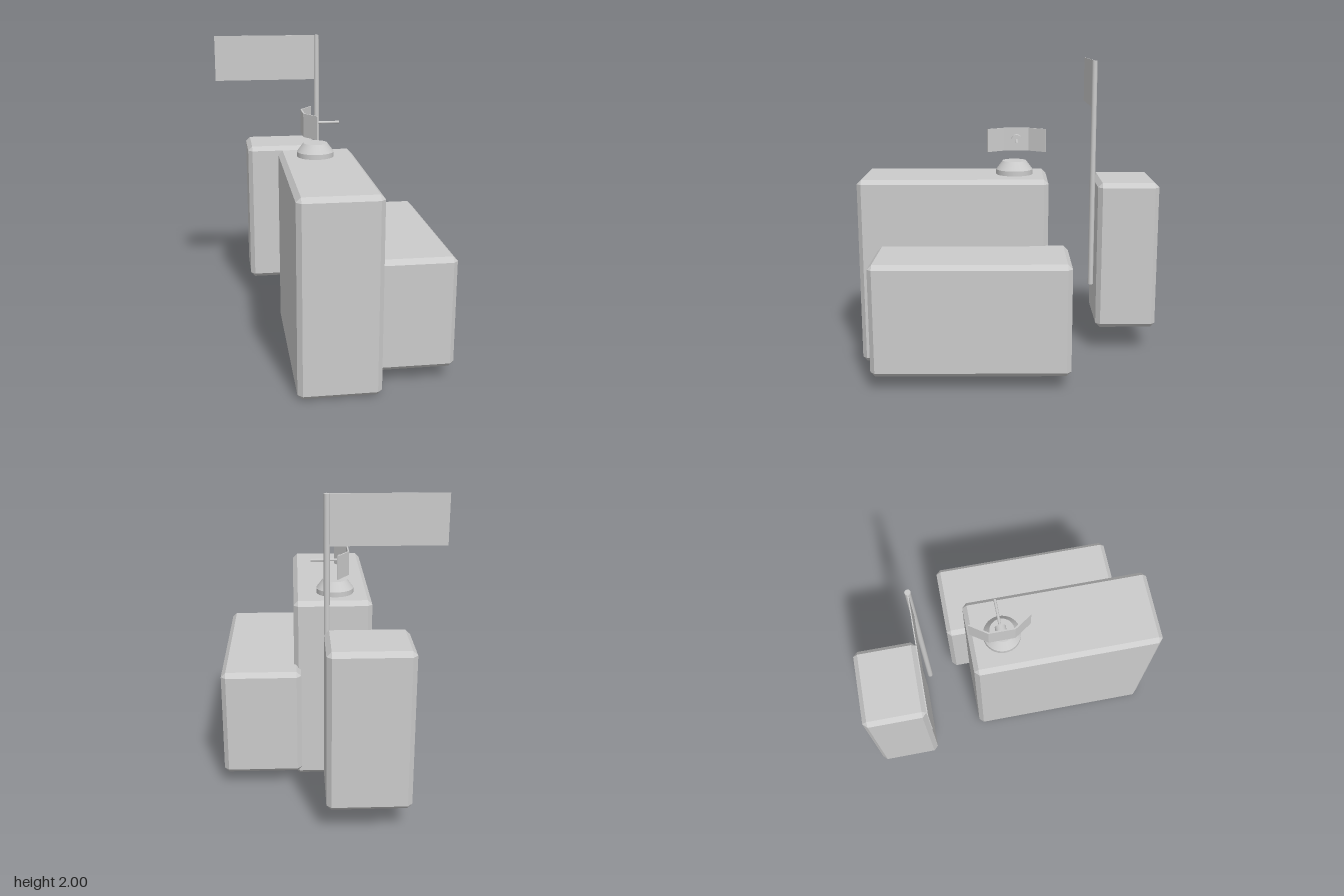
import * as THREE from 'three';
import { ConvexGeometry } from 'three/addons/geometries/ConvexGeometry.js';

const material = new THREE.MeshStandardMaterial({ color: 0xcccccc, flatShading: true });
const smooth = new THREE.MeshStandardMaterial({ color: 0xcccccc });

function part(name, geometry, x = 0, y = 0, z = 0, mat = material) {
  const mesh = new THREE.Mesh(geometry, mat);
  mesh.name = name;
  mesh.position.set(x, y, z);
  return mesh;
}

// Box with 45 degree chamfers on every edge, given by its limits
function chamferedBox(name, x0, x1, y0, y1, z0, z1, c = 0.03) {
  const half = [(x1 - x0) / 2, (y1 - y0) / 2, (z1 - z0) / 2];
  const points = [];
  for (const sx of [-1, 1]) for (const sy of [-1, 1]) for (const sz of [-1, 1]) {
    const s = [sx, sy, sz];
    // three points per corner, each lying on one full face
    for (let face = 0; face < 3; face++) {
      points.push(new THREE.Vector3(...half.map((h, i) => s[i] * (i === face ? h : h - c))));
    }
  }
  return part(name, new ConvexGeometry(points), (x0 + x1) / 2, (y0 + y1) / 2, (z0 + z1) / 2);
}

export function createModel() {
  const model = new THREE.Group();
  model.name = 'blockGroup';

  // Three large blocks
  model.add(
    chamferedBox('tallBlock', -0.29, 0.22, 0, 1.245, -0.245, 1),
    chamferedBox('lowBlock', 0.175, 0.693, 0.09, 0.808, -0.375, 0.872),
    chamferedBox('rearBlock', -0.48, 0.037, 0.173, 1.19, -1, -0.588),
  );

  // Flag on its pole
  const flag = new THREE.Group();
  flag.name = 'flag';
  flag.add(
    part('flagPole', new THREE.CylinderGeometry(0.018, 0.018, 1.51, 16), 0.018, 1.245, -0.547, smooth),
    part('flagPanel', new THREE.BoxGeometry(0.705, 0.312, 0.006), -0.347, 1.844, -0.547),
  );
  model.add(flag);

  // Low turret base: short wall, then a taper to a flat top
  const base = new THREE.Group();
  base.name = 'turretBase';
  base.position.set(-0.056, 0, -0.025);
  base.add(
    part('baseWall', new THREE.CylinderGeometry(0.123, 0.123, 0.035, 32), 0, 1.26, 0, smooth),
    part('baseTaper', new THREE.CylinderGeometry(0.08, 0.123, 0.058, 32), 0, 1.306, 0, smooth),
  );
  model.add(base);

  // Folded dish with hub and antenna rod
  const dish = new THREE.Group();
  dish.name = 'dish';
  dish.position.set(0, 1.468, -0.04);
  const outline = [
    [-0.066, -0.198], [-0.143, -0.085], [-0.143, 0.085], [-0.066, 0.198],
    [-0.058, 0.193], [-0.133, 0.082], [-0.133, -0.082], [-0.058, -0.193],
  ].map(([x, y]) => new THREE.Vector2(x, y));
  const panel = new THREE.ExtrudeGeometry(new THREE.Shape(outline), { depth: 0.155, bevelEnabled: false });
  panel.translate(0, 0, -0.0775).rotateX(-Math.PI / 2);
  const hub = new THREE.CylinderGeometry(0.035, 0.035, 0.055, 24).rotateZ(Math.PI / 2);
  const rod = new THREE.CylinderGeometry(0.009, 0.009, 0.19, 12).rotateZ(Math.PI / 2);
  dish.add(
    part('dishPanel', panel),
    part('dishHub', hub, -0.107, 0, 0, smooth),
    part('antennaRod', rod, 0.01, 0, 0, smooth),
  );
  model.add(dish);

  return model;
}
